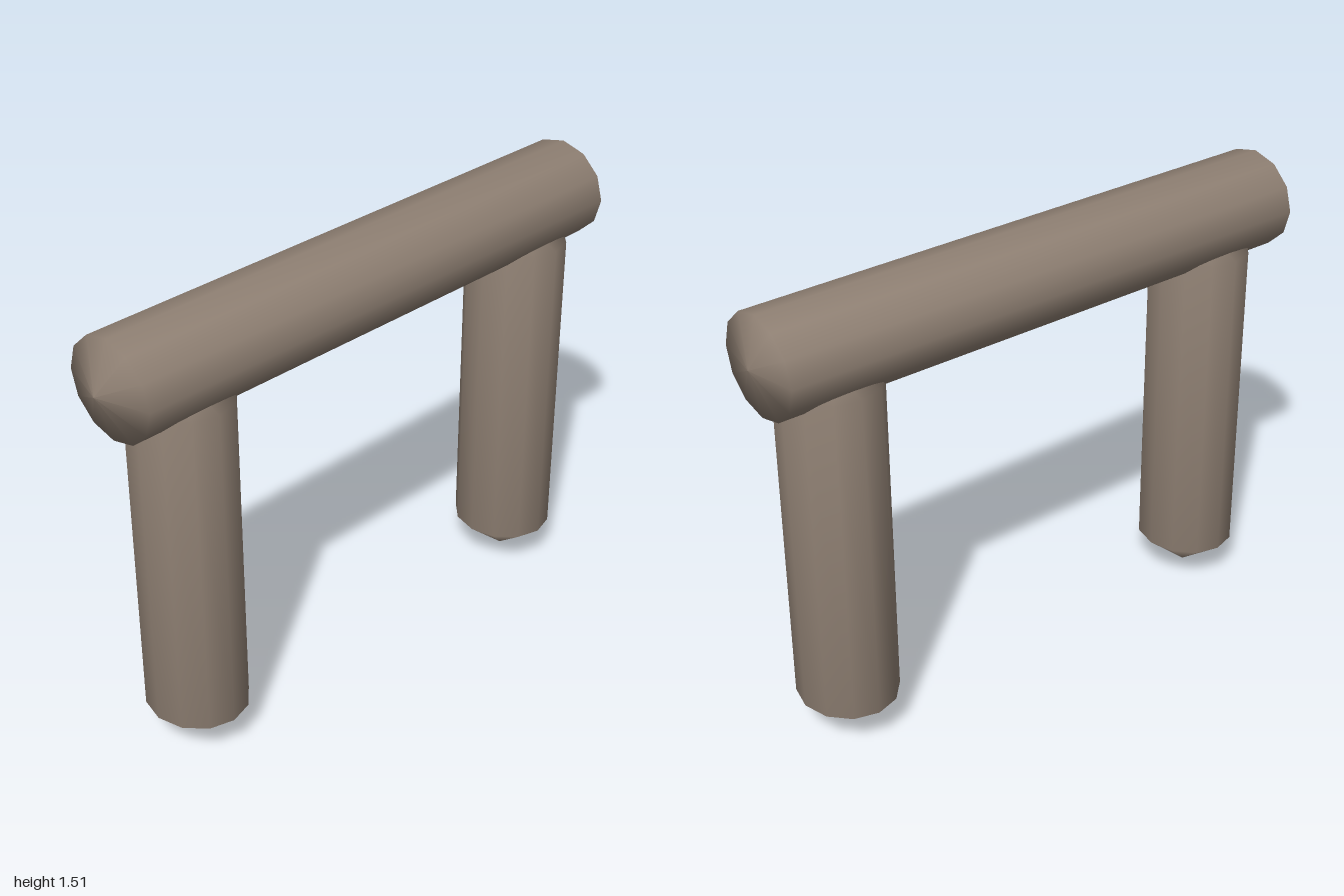
import * as THREE from 'three';

// Smooth 12-sided log along y with a shallow cone on each end
function logGeometry(tipA, endA, endB, tipB, rx, rz) {
  const profile = [[0, tipA], [1, endA], [1, endB], [0, tipB]]
    .map(([r, y]) => new THREE.Vector2(r * rx, y));
  const geometry = new THREE.LatheGeometry(profile, 12);
  geometry.scale(1, 1, rz / rx);
  return geometry;
}

export function createModel() {
  const group = new THREE.Group();
  const wood = new THREE.MeshStandardMaterial({ color: 0x8f8073 });
  wood.name = 'weathered wood';

  // Horizontal beam, laid along x
  const beamGeometry = logGeometry(-1, -0.945, 0.967, 1, 0.161, 0.173);
  beamGeometry.rotateZ(-Math.PI / 2);
  const beam = new THREE.Mesh(beamGeometry, wood);
  beam.name = 'beam';
  beam.position.y = 1.352;
  group.add(beam);

  // Two posts with pointed feet, their tops sunk into the beam
  const postGeometry = logGeometry(0, 0.135, 1.243, 1.33, 0.16, 0.174);
  for (const [name, x] of [['rightPost', -0.705], ['leftPost', 0.745]]) {
    const post = new THREE.Mesh(postGeometry, wood);
    post.name = name;
    post.position.x = x;
    group.add(post);
  }
  return group;
}
